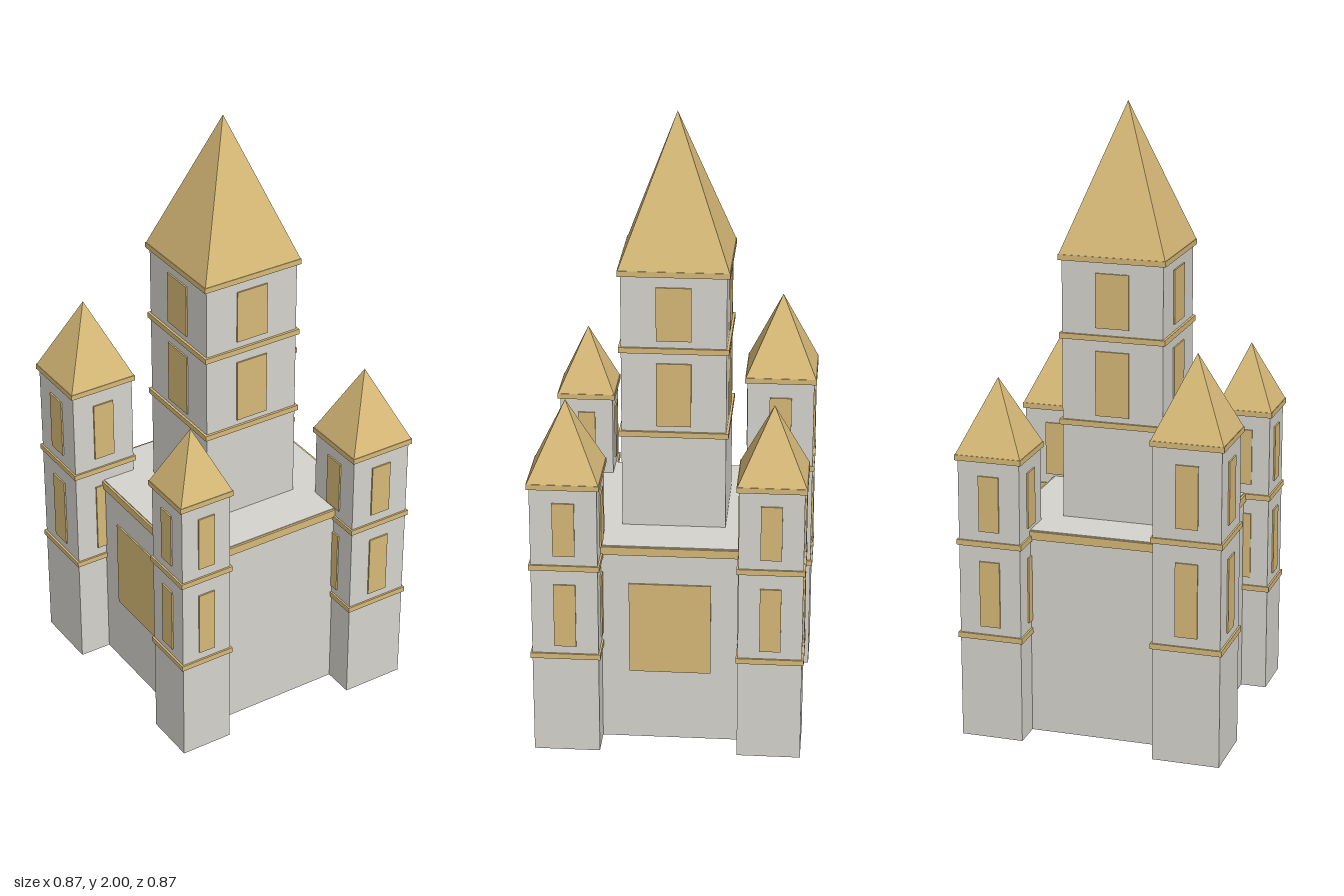
import * as THREE from 'three';

export function createModel() {
  const stone = new THREE.MeshStandardMaterial({ color: 0xd6d4ce });
  stone.name = 'stone';
  const gold = new THREE.MeshStandardMaterial({ color: 0xd8ba78 });
  gold.name = 'gold';
  const roofGold = gold;

  const castle = new THREE.Group();
  castle.name = 'castle';

  // Square block of half-width h between heights y0 and y1
  function block(parent, name, h, y0, y1, material) {
    const mesh = new THREE.Mesh(new THREE.BoxGeometry(2 * h, y1 - y0, 2 * h), material);
    mesh.position.y = (y0 + y1) / 2;
    mesh.name = name;
    parent.add(mesh);
  }

  // Thin plate standing proud of a wall at distance d, turned to face the given angle
  function plate(parent, name, halfWidth, y0, y1, d, angle) {
    const geometry = new THREE.BoxGeometry(2 * halfWidth, y1 - y0, 0.008);
    geometry.translate(0, (y0 + y1) / 2, d);
    const mesh = new THREE.Mesh(geometry, gold);
    mesh.rotation.y = angle;
    mesh.name = name;
    parent.add(mesh);
  }

  // Four-sided spire with hard edges
  function spire(parent, h, y0, y1) {
    const geometry = new THREE.ConeGeometry(h * Math.SQRT2, y1 - y0, 4).toNonIndexed();
    geometry.rotateY(Math.PI / 4);
    geometry.computeVertexNormals();
    const mesh = new THREE.Mesh(geometry, roofGold);
    mesh.position.y = (y0 + y1) / 2;
    mesh.name = 'spire';
    parent.add(mesh);
  }

  // Tower with ledges, windows on all four sides, an eave and a spire
  function tower(name, x, z, t) {
    const group = new THREE.Group();
    group.name = name;
    group.position.set(x, 0, z);
    block(group, 'towerWall', t.half, t.base, t.eave, stone);
    for (const y of t.ledges) block(group, 'ledge', t.trim, y - 0.009, y + 0.009, gold);
    for (const [y0, y1] of t.windows) {
      for (let i = 0; i < 4; i++) {
        plate(group, 'window', t.windowHalf, y0, y1, t.half + 0.001, i * Math.PI / 2);
      }
    }
    block(group, 'eave', t.trim + 0.002, t.eave, t.eave + 0.018, gold);
    spire(group, t.trim, t.eave + 0.018, t.top);
    castle.add(group);
  }

  // Keep with a trimmed edge and a large window on each side
  block(castle, 'keepWall', 0.325, 0, 0.68, stone);
  block(castle, 'keepTrim', 0.332, 0.65, 0.677, gold);
  for (const side of [-1, 1]) {
    plate(castle, 'keepWindow', 0.13, 0.24, 0.55, 0.326, side * Math.PI / 2);
  }

  // Central tower
  tower('centralTower', 0, 0, {
    half: 0.165, trim: 0.173, base: 0.68, eave: 1.52, top: 2,
    ledges: [0.997, 1.278], windowHalf: 0.055,
    windows: [[1.025, 1.235], [1.31, 1.485]],
  });

  // Corner turrets, each of its own size: name, x side, z side, half, eave, top
  const turrets = [
    ['frontRightTurret', -1, 1, 0.087, 0.945, 1.17],
    ['frontLeftTurret', 1, 1, 0.105, 0.912, 1.17],
    ['backLeftTurret', 1, -1, 0.101, 0.922, 1.17],
    ['backRightTurret', -1, -1, 0.109, 1.028, 1.3],
  ];
  for (const [name, sx, sz, half, eave, top] of turrets) {
    tower(name, sx * 0.322, sz * 0.322, {
      half, trim: half + 0.006, base: 0, eave, top,
      ledges: [eave * 0.371, eave * 0.708], windowHalf: half * 0.33,
      windows: [[eave * 0.41, eave * 0.645], [eave * 0.753, eave * 0.95]],
    });
  }

  return castle;
}
